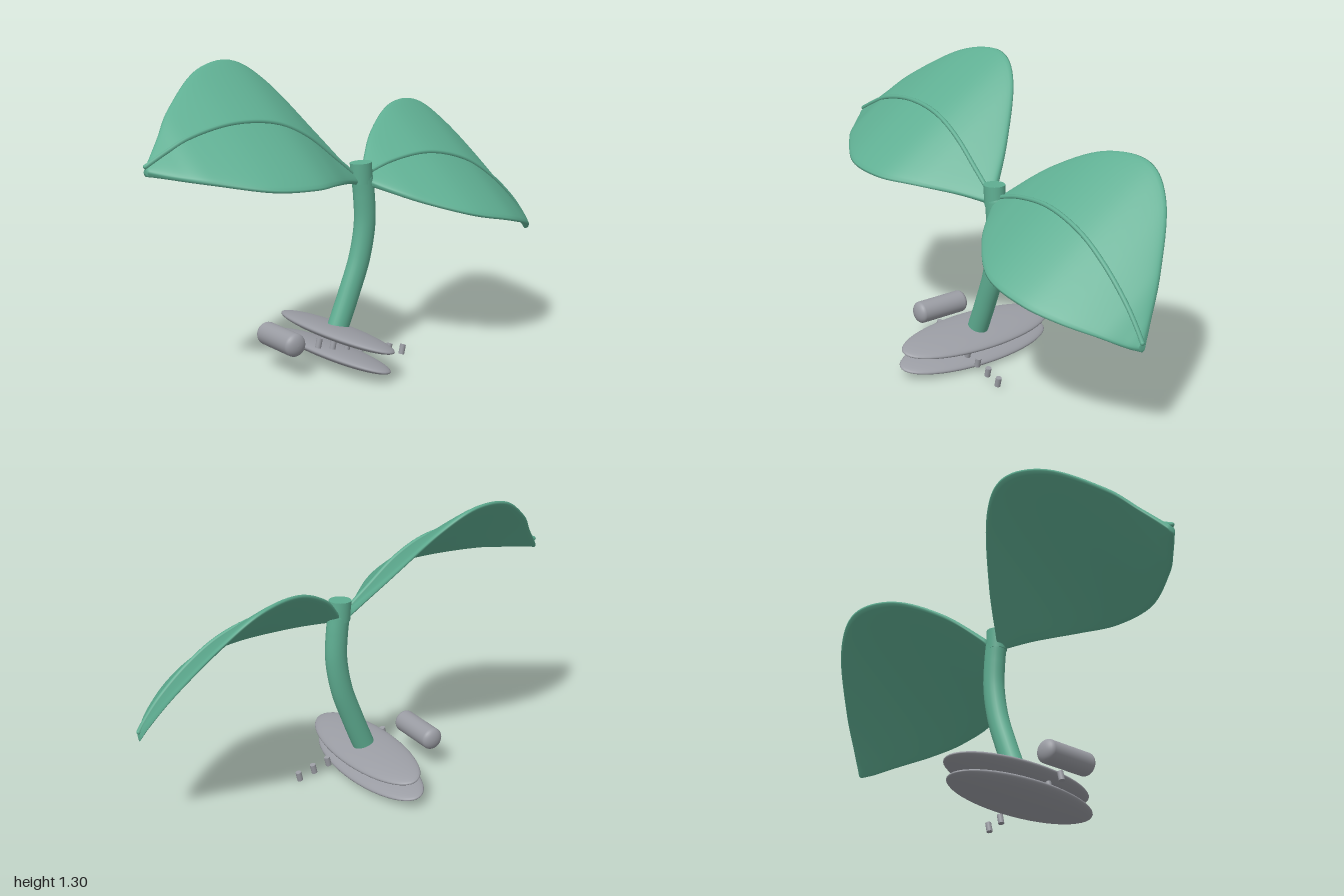
import * as THREE from 'three';

// Rows along each leaf: [x, midrib height, back edge z, front edge z]
const RIGHT_LEAF = [
  [-0.995, 0.965, -0.012, 0.012], [-0.9, 1.015, -0.085, 0.11], [-0.8, 1.06, -0.17, 0.2],
  [-0.6, 1.1, -0.3, 0.31], [-0.4, 1.085, -0.36, 0.31], [-0.25, 1.02, -0.315, 0.23],
  [-0.1, 0.905, -0.165, 0.1], [0, 0.825, -0.03, 0.02],
];
const LEFT_LEAF = [
  [0.06, 0.825, -0.035, 0.035], [0.2, 0.868, -0.17, 0.19], [0.4, 0.885, -0.295, 0.31],
  [0.6, 0.835, -0.36, 0.305], [0.75, 0.745, -0.315, 0.235], [0.88, 0.63, -0.175, 0.13],
  [0.95, 0.545, -0.065, 0.055], [0.98, 0.5, -0.01, 0.01],
];
const SLOPE = 0.68;

// Thin pillow-edged blade, sloping down toward the front
function bladeGeometry(rows) {
  const line = new THREE.SplineCurve(rows.map(r => new THREE.Vector2(r[0], r[1])));
  const edges = new THREE.SplineCurve(rows.map(r => new THREE.Vector2(r[2], r[3])));
  const n = 56, m = 36, pos = [], index = [];
  const len = Math.hypot(1, SLOPE);
  for (let i = 0; i <= n; i++) {
    const p = line.getPoint(i / n), e = edges.getPoint(i / n);
    const mid = (e.x + e.y) / 2, half = (e.y - e.x) / 2;
    for (let j = 0; j < m; j++) {
      const t = j / m * Math.PI * 2, s = Math.sin(t);
      const z = mid + half * Math.cos(t);
      const h = 0.017 * Math.sign(s) * Math.sqrt(Math.abs(s));
      pos.push(p.x, p.y - 0.033 - SLOPE * z + h / len, z + h * SLOPE / len);
    }
  }
  for (let i = 0; i < n; i++) {
    for (let j = 0; j < m; j++) {
      const k = (j + 1) % m;
      const a = i * m + j, b = a + m, c = i * m + k, d = c + m;
      index.push(a, b, c, b, d, c);
    }
  }
  for (let j = 1; j < m - 1; j++) {
    index.push(0, j, j + 1, n * m, n * m + j + 1, n * m + j);
  }
  const g = new THREE.BufferGeometry();
  g.setAttribute('position', new THREE.Float32BufferAttribute(pos, 3));
  g.setIndex(index);
  g.computeVertexNormals();
  return g;
}

export function createModel() {
  const model = new THREE.Group();
  model.name = 'sprout';
  const green = new THREE.MeshStandardMaterial({ color: 0x5fae92 });
  green.name = 'leaf green';
  const grey = new THREE.MeshStandardMaterial({ color: 0x9a9ca3 });
  grey.name = 'stone grey';

  const add = (name, geometry, material, x = 0, y = 0, z = 0, tilt = 0) => {
    const mesh = new THREE.Mesh(geometry, material);
    mesh.name = name;
    mesh.position.set(x, y, z);
    mesh.rotation.z = tilt;
    model.add(mesh);
    return mesh;
  };

  // Leaves with raised midribs
  for (const [side, rows] of [['right', RIGHT_LEAF], ['left', LEFT_LEAF]]) {
    add(side + 'Leaf', bladeGeometry(rows), green);
    const path = new THREE.CatmullRomCurve3(rows.map(r => new THREE.Vector3(r[0], r[1] - 0.01, 0)));
    add(side + 'Midrib', new THREE.TubeGeometry(path, 60, 0.01, 8), green);
    const tip = side === 'left' ? rows[rows.length - 1] : rows[0];
    add(side + 'MidribTip', new THREE.SphereGeometry(0.01, 10, 8), green, tip[0], tip[1] - 0.01);
  }

  // Curved stem with a rounded top and a short collar
  const stemPath = new THREE.CatmullRomCurve3([
    [-0.1, 0.13], [-0.03, 0.3], [0.025, 0.45], [0.052, 0.6], [0.048, 0.72], [0.04, 0.79],
  ].map(p => new THREE.Vector3(p[0], p[1], 0)));
  add('stem', new THREE.TubeGeometry(stemPath, 48, 0.049, 24), green).scale.z = 0.88;
  add('stemTop', new THREE.SphereGeometry(0.049, 24, 16), green, 0.04, 0.79).scale.z = 0.88;
  add('collar', new THREE.CylinderGeometry(0.05, 0.048, 0.09, 28), green, 0.034, 0.82, 0, 0.05).scale.z = 0.9;

  // Two flattened oval base discs
  for (const [name, x, y] of [['upperDisc', -0.1, 0.135], ['lowerDisc', -0.12, 0.053]]) {
    add(name, new THREE.SphereGeometry(1, 48, 24), grey, x, y, 0, -0.23).scale.set(0.131, 0.031, 0.39);
  }

  // Roller lying beside the base
  const profile = [new THREE.Vector2(0, -0.135)];
  for (let i = 1; i <= 8; i++) {
    const t = i / 8 * Math.PI / 2;
    profile.push(new THREE.Vector2(0.05 * Math.sin(t), -0.105 - 0.03 * Math.cos(t)));
  }
  for (let i = 8; i >= 0; i--) profile.push(new THREE.Vector2(profile[i].x, -profile[i].y));
  add('roller', new THREE.LatheGeometry(profile, 32), grey, -0.382, 0.15).rotation.x = Math.PI / 2;

  // Row of small pegs
  for (let i = 0; i < 7; i++) {
    add('peg' + (i + 1), new THREE.CylinderGeometry(0.013, 0.013, 0.042, 16), grey,
      -0.253 + i * 0.0735, 0.134 - i * 0.0178, 0.095, -0.23);
  }
  return model;
}
